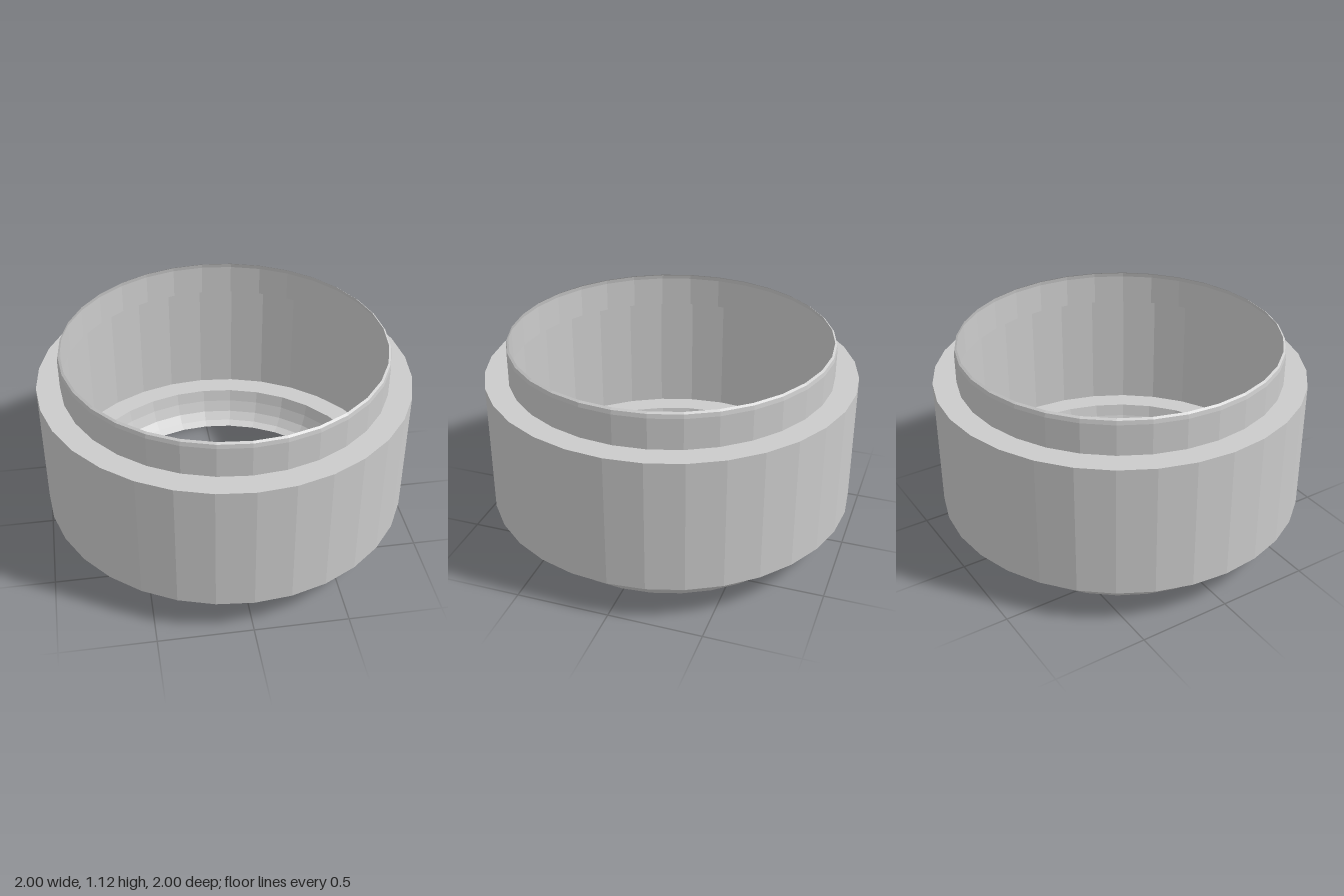
import * as THREE from 'three';

const SIDES = 32;

// Thin faceted shell of revolution from [radius, height] points, bottom to top
function ring(name, profile, material) {
  const points = profile.map(([r, y]) => new THREE.Vector2(r, y));
  const mesh = new THREE.Mesh(new THREE.LatheGeometry(points, SIDES), material);
  mesh.name = name;
  return mesh;
}

export function createModel() {
  const group = new THREE.Group();
  group.name = 'steppedCollar';
  const material = new THREE.MeshStandardMaterial({
    color: 0xcccccc, flatShading: true, side: THREE.DoubleSide,
  });

  // Rounded lower lip curving in to the open bottom
  group.add(ring('lowerLip', [
    [0.76, 0], [0.8, 0.02], [0.835, 0.065], [0.86, 0.13], [0.875, 0.2],
  ], material));

  // Wide hollow band with a flat shoulder above and below
  group.add(ring('outerBand', [
    [0.875, 0.2], [1, 0.2], [1, 0.925], [0.875, 0.925],
  ], material));

  // Upright neck with a small rolled rim
  group.add(ring('neck', [
    [0.875, 0.925], [0.875, 1.09], [0.871, 1.112], [0.86, 1.12],
  ], material));

  return group;
}
